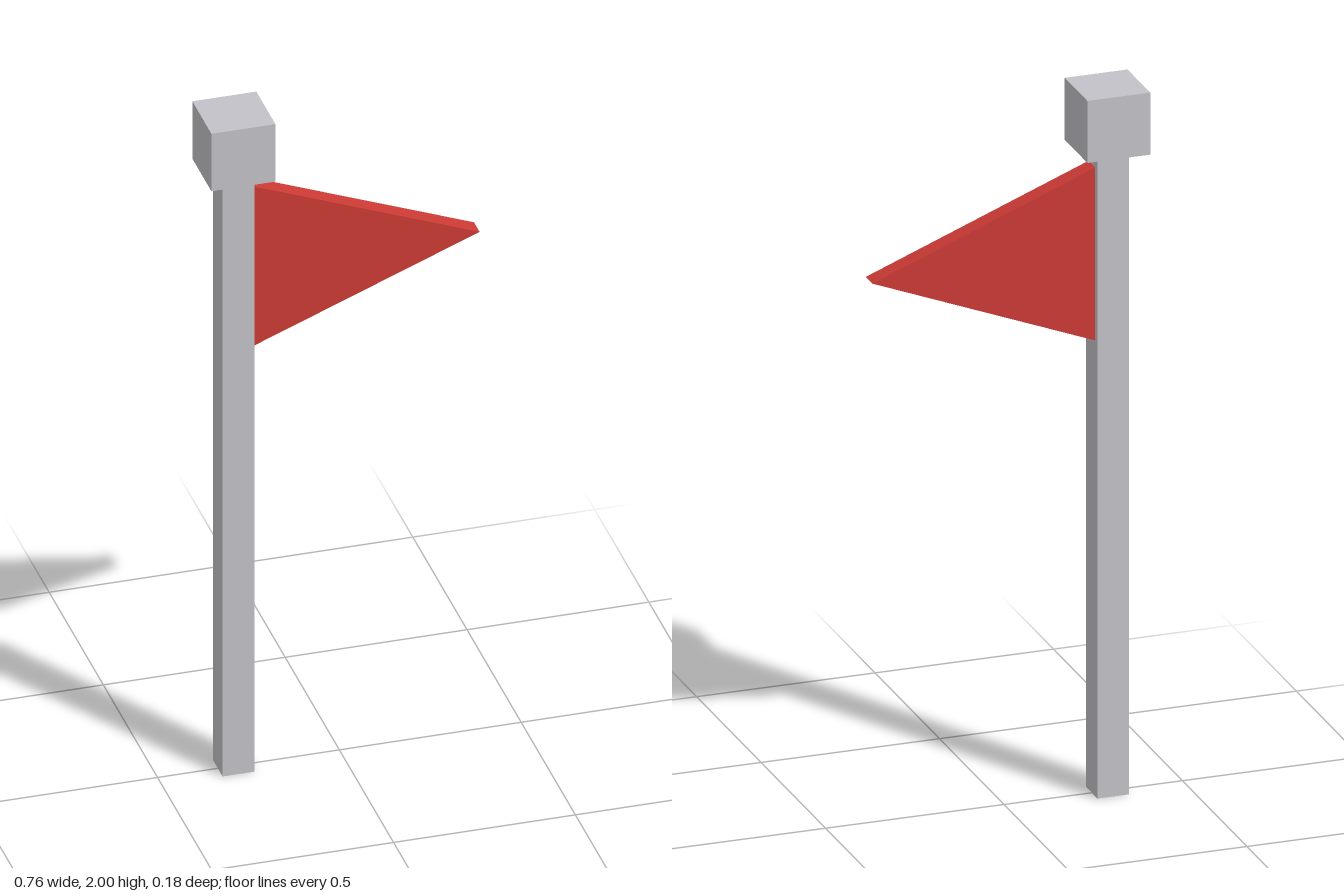
import * as THREE from 'three';

export function createModel() {
  const group = new THREE.Group();
  group.name = 'flagpole';

  const grey = new THREE.MeshStandardMaterial({ color: 0xc2c2c8 });
  grey.name = 'light grey';
  const red = new THREE.MeshStandardMaterial({ color: 0xcc3a35 });
  red.name = 'flag red';

  const add = (name, geometry, material, x, y, z) => {
    const mesh = new THREE.Mesh(geometry, material);
    mesh.name = name;
    mesh.position.set(x, y, z);
    group.add(mesh);
  };

  const poleX = -0.29, poleWidth = 0.088, capSize = 0.176;
  const poleHeight = 2 - capSize;

  // Square pole with a cube on top
  add('pole', new THREE.BoxGeometry(poleWidth, poleHeight, poleWidth), grey, poleX, poleHeight / 2, 0);
  add('poleCap', new THREE.BoxGeometry(capSize, capSize, capSize), grey, poleX, 2 - capSize / 2, 0);

  // Triangular pennant, its straight edge against the pole
  const length = 0.624, halfHeight = 0.245, thickness = 0.052;
  const pennant = new THREE.Shape([
    new THREE.Vector2(0, -halfHeight),
    new THREE.Vector2(length, 0),
    new THREE.Vector2(0, halfHeight),
  ]);
  add('pennant', new THREE.ExtrudeGeometry(pennant, { depth: thickness, bevelEnabled: false }),
    red, poleX + poleWidth / 2, 1.537, -thickness / 2);

  return group;
}
